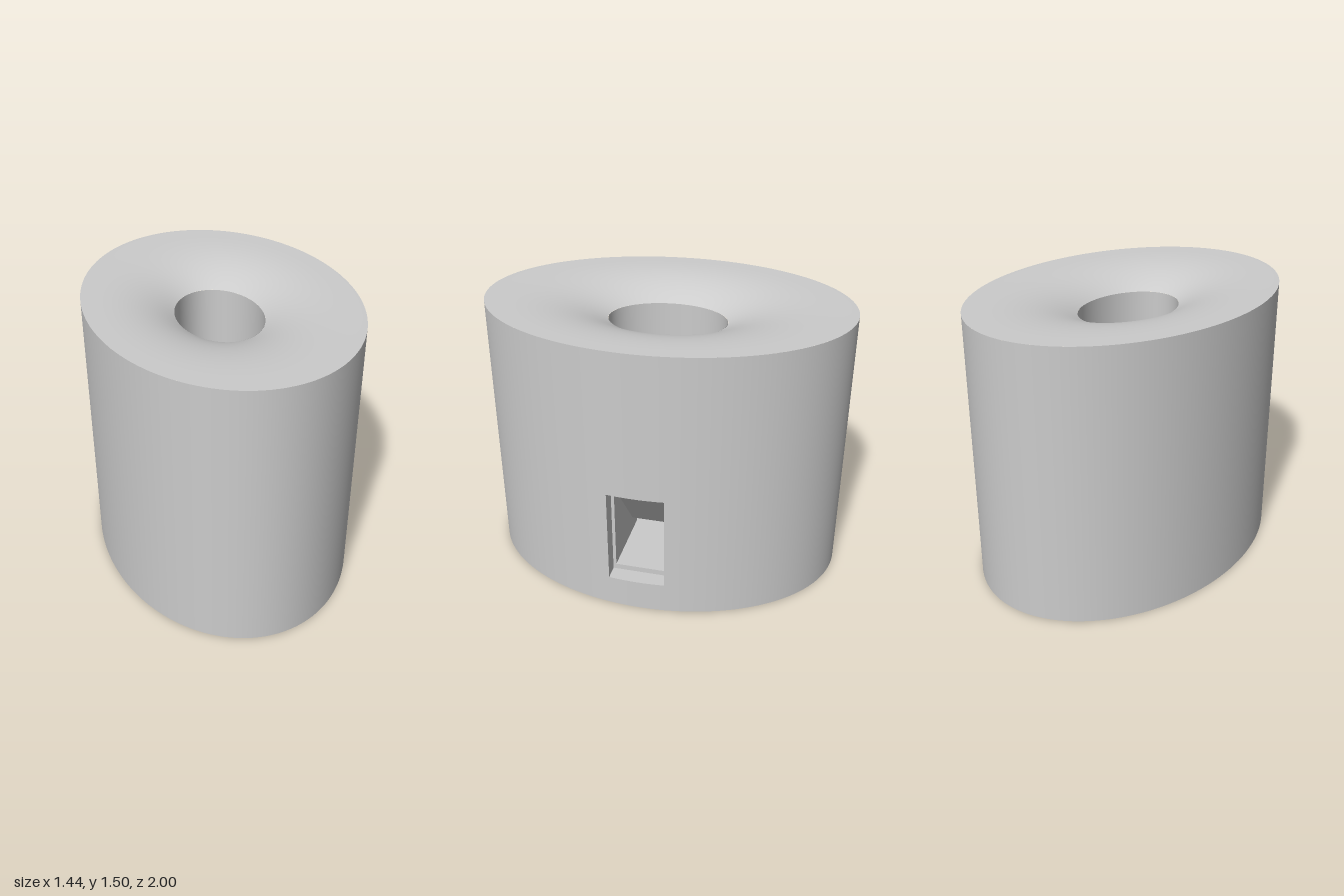
import * as THREE from 'three';

const RX = 0.72, RZ = 1, H = 1.5;          // oval body
const HX = 0.235, HZ = 0.325, LIP = 1.39;  // oval shaft and height of its lip
const FLOOR = 0.2, THROAT = 0.28;          // shaft floor, top of the low passage
const WIN = { z: 0.152, y0: 0.17, y1: 0.7 };   // window in the outer wall
const INN = { z: 0.135, y0: FLOOR, y1: 0.67 }; // smaller opening behind it
const STEP = 0.63, RAMP = 0.3;             // x of the step and of the ramp's foot

const solid = new THREE.MeshStandardMaterial({ color: 0xcccccc });
const open = new THREE.MeshStandardMaterial({ color: 0xcccccc, side: THREE.DoubleSide });

export function createModel() {
  const model = new THREE.Group();

  const add = (name, geometry, material = open) => {
    const mesh = new THREE.Mesh(geometry, material);
    mesh.name = name;
    model.add(mesh);
  };

  // Part of an upright oval wall; the angle is measured from +x
  const wall = (name, rx, rz, y0, y1, from, sweep, material) => {
    const segments = Math.max(8, Math.round(sweep * 20));
    const g = new THREE.CylinderGeometry(1, 1, y1 - y0, segments, 1, true, Math.PI / 2 + from, sweep);
    g.scale(rx, 1, rz).translate(0, (y0 + y1) / 2, 0);
    add(name, g, material);
  };

  // Oval wall with a rectangular opening on the +x side
  const piercedWall = (name, rx, rz, bottom, top, halfZ, y0, y1, material) => {
    const a = Math.asin(halfZ / rz);
    wall(name, rx, rz, bottom, top, a, 2 * Math.PI - 2 * a, material);
    if (y0 > bottom) wall(name + 'BelowOpening', rx, rz, bottom, y0, -a, 2 * a, material);
    wall(name + 'AboveOpening', rx, rz, y1, top, -a, 2 * a, material);
  };

  // Flat-shaded band between two point lists of equal length
  const ribbon = (name, p, q) => {
    const v = [];
    for (let i = 0; i < p.length - 1; i++)
      for (const c of [p[i], q[i], p[i + 1], p[i + 1], q[i], q[i + 1]]) v.push(...c);
    const g = new THREE.BufferGeometry();
    g.setAttribute('position', new THREE.Float32BufferAttribute(v, 3));
    g.computeVertexNormals();
    add(name, g);
  };

  // Points across z, following an oval or a straight line at constant x
  const N = 10;
  const across = (halfZ, y, x) => Array.from({ length: N + 1 }, (_, i) => {
    const z = halfZ * (2 * i / N - 1);
    return [x(z), y, z];
  });
  const onOval = (rx, rz) => z => rx * Math.sqrt(1 - (z / rz) ** 2);

  // Outer wall, base and flared top
  piercedWall('outerWall', RX, RZ, 0, H, WIN.z, WIN.y0, WIN.y1, solid);
  const base = new THREE.CircleGeometry(1, 128);
  base.rotateX(Math.PI / 2).scale(RX, 1, RZ);
  add('base', base, solid);
  const inner = HX / RX, flare = [];
  for (let i = 0; i <= 32; i++) {
    const t = i / 32;
    flare.push(new THREE.Vector2(1 - (1 - inner) * t, H - (H - LIP) * t ** 3));
  }
  add('flaredTop', new THREE.LatheGeometry(flare, 128).scale(RX, 1, RZ));

  // Shaft and its floor
  piercedWall('shaftWall', HX, HZ, FLOOR, LIP, INN.z, FLOOR, THROAT, open);
  const floor = new THREE.CircleGeometry(1, 96);
  floor.rotateX(-Math.PI / 2).scale(HX, 1, HZ).translate(0, FLOOR, 0);
  add('shaftFloor', floor);

  // Window reveal
  for (const [name, y] of [['windowSill', WIN.y0], ['windowHead', WIN.y1]])
    ribbon(name, across(WIN.z, y, onOval(RX, RZ)), across(WIN.z, y, () => STEP));
  const edge = onOval(RX, RZ)(WIN.z);
  for (const s of [-1, 1])
    ribbon('windowJamb', [[edge, WIN.y0, s * WIN.z], [edge, WIN.y1, s * WIN.z]],
      [[STEP, WIN.y0, s * WIN.z], [STEP, WIN.y1, s * WIN.z]]);

  // Narrow stepped frame
  const loop = r => [[-1, 0], [1, 0], [1, 1], [-1, 1], [-1, 0]]
    .map(([s, t]) => [STEP, t ? r.y1 : r.y0, s * r.z]);
  ribbon('windowStep', loop(WIN), loop(INN));

  // Passage from the window to the shaft, under a slanted baffle
  const line = (y, x) => across(INN.z, y, () => x);
  const toShaft = y => across(INN.z, y, onOval(HX, HZ));
  ribbon('passageFloor', line(FLOOR, STEP), toShaft(FLOOR));
  ribbon('slantedBaffle', line(INN.y1, STEP - 0.02), line(THROAT, RAMP));
  ribbon('passageHead', line(INN.y1, STEP), line(INN.y1, STEP - 0.02));
  ribbon('passageCeiling', line(THROAT, RAMP), toShaft(THROAT));
  const mouth = onOval(HX, HZ)(INN.z);
  const side = new THREE.Shape([[STEP, FLOOR], [STEP, INN.y1], [STEP - 0.02, INN.y1],
    [RAMP, THROAT], [mouth, THROAT], [mouth, FLOOR]].map(p => new THREE.Vector2(...p)));
  for (const s of [-1, 1])
    add('passageSide', new THREE.ShapeGeometry(side).translate(0, 0, s * INN.z));

  return model;
}
